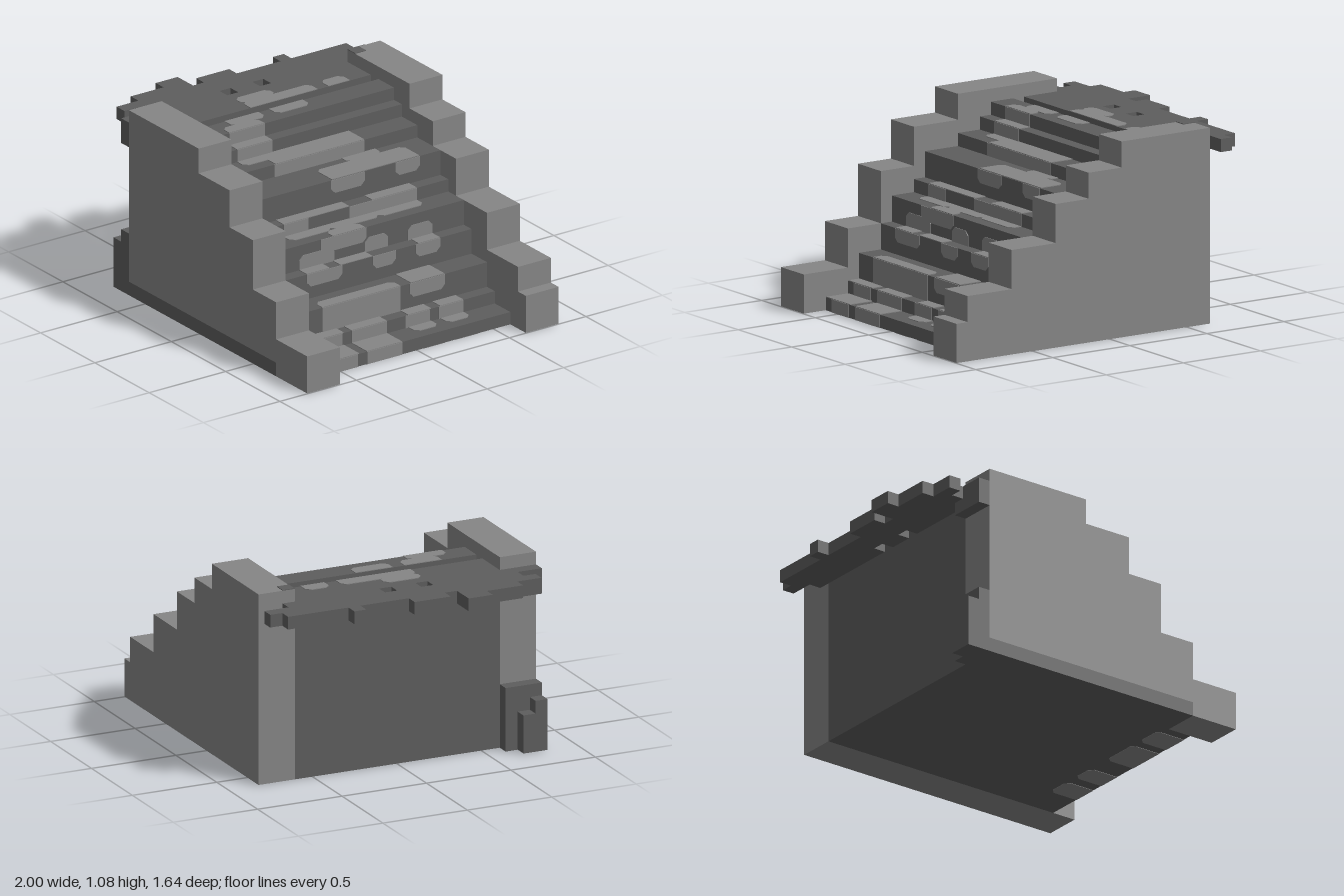
import * as THREE from 'three';

// Everything is laid out on a block grid, 14 blocks per unit.
const U = 1 / 14;
const WALL = 8.5, EDGE = 11.5;

// [end x, height] of each run, from the top of the stairs to the bottom
const TREADS = [[-6, 14], [-5, 13], [-3, 14], [-2, 13], [0, 12], [3, 11], [4, 9], [6, 8], [7, 6], [9, 4], [10, 2], [12, 1]];
const FRONT_WALL = [[0, 15], [4, 13], [7, 10], [10, 6], [14, 3]];
const BACK_WALL = [[-1, 15], [2, 13], [5, 11], [9, 8], [13, 5], [14, 3]];

const shapeOf = (pts) => new THREE.Shape(pts.map(([a, b]) => new THREE.Vector2(a * U, b * U)));

// Stepped side profile starting at x = -9
function steppedProfile(steps, bottom = [[-9, 0]]) {
  const pts = [...bottom];
  const last = steps[steps.length - 1][0];
  pts.push([last, 0]);
  for (let i = steps.length - 1; i >= 0; i--) {
    pts.push([steps[i][0], steps[i][1]]);
    pts.push([i ? steps[i - 1][0] : -9, steps[i][1]]);
  }
  return shapeOf(pts);
}

export function createModel() {
  const model = new THREE.Group();
  model.name = 'stoneStaircase';
  const light = new THREE.MeshStandardMaterial({ color: 0x868686 });
  light.name = 'light stone';
  const dark = new THREE.MeshStandardMaterial({ color: 0x5e5e5e });
  dark.name = 'dark stone';

  const add = (name, geometry, material, parent = model) => {
    const mesh = new THREE.Mesh(geometry, material);
    mesh.name = name;
    parent.add(mesh);
    return mesh;
  };
  const extrude = (shape, depth) => new THREE.ExtrudeGeometry(shape, { depth: depth * U, bevelEnabled: false });
  // Box between two grid corners
  const block = (name, x0, x1, y0, y1, z0, z1, material, parent) => {
    const g = new THREE.BoxGeometry((x1 - x0) * U, (y1 - y0) * U, (z1 - z0) * U);
    g.translate((x0 + x1) / 2 * U, (y0 + y1) / 2 * U, (z0 + z1) / 2 * U);
    return add(name, g, material, parent);
  };

  // Stair body
  add('stairs', extrude(steppedProfile(TREADS), 2 * WALL).translate(0, 0, -WALL * U), dark);

  // Side walls; the front one rests on a dark base course
  add('backWall', extrude(steppedProfile(BACK_WALL), 3).translate(0, 0, -EDGE * U), light);
  add('frontWall', extrude(steppedProfile(FRONT_WALL, [[-9, 1.1], [10, 1.1], [10, 0]]), 3).translate(0, 0, WALL * U), light);
  block('frontWallBase', -9, 10, 0, 1.1, WALL, EDGE, dark);

  // Ragged landing behind the stairs, with two holes
  const landing = shapeOf([
    [-11, -11.5], [-10, -11.5], [-10, -9.5], [-9, -9.5], [-9, 8.5], [-10, 8.5], [-10, 9.5], [-11, 9.5],
    [-11, 10.5], [-12, 10.5], [-12, 8.5], [-13, 8.5], [-13, 5.5], [-14, 5.5], [-14, 3.5], [-12, 3.5],
    [-12, 2.5], [-13, 2.5], [-13, -0.5], [-12, -0.5], [-12, -4.5], [-13, -4.5], [-13, -5.5], [-12, -5.5],
    [-12, -10.5], [-11, -10.5]]);
  for (const z of [-1.5, 1.5]) {
    landing.holes.push(shapeOf([[-10, z], [-10, z + 1], [-9.001, z + 1], [-9.001, z]]));
  }
  add('landing', extrude(landing, 1).rotateX(Math.PI / 2).translate(0, 14 * U, 0), dark);
  block('landingBracket', -10, -9, 12, 14, WALL, EDGE, dark);

  // Rubble at the foot of the front wall
  const rubble = new THREE.Group();
  rubble.name = 'rubble';
  model.add(rubble);
  block('tallRubble', -10, -9, 0, 5, WALL, EDGE, dark, rubble);
  block('lowRubble', -11, -10, 0, 3, 9.5, 10.5, dark, rubble);
  block('middleRubble', -11, -10, 0, 4, 10.5, EDGE, dark, rubble);

  // Worn patches: thin plates, corners cut only where a patch ends on a face
  const patches = new THREE.Group();
  patches.name = 'wornPatches';
  model.add(patches);
  const T = 0.004;
  const plate = (u0, u1, v0, v1, cutLow, cutHigh) => {
    const c = 0.025, a = cutLow ? c : 0, b = cutHigh ? c : 0;
    const s = new THREE.Shape([
      [u0 + a, v0], [u1 - b, v0], [u1, v0 + b], [u1, v1 - b], [u1 - b, v1], [u0 + a, v1], [u0, v1 - a], [u0, v0 + a],
    ].map(([p, q]) => new THREE.Vector2(p, q)));
    return new THREE.ExtrudeGeometry(s, { depth: T, bevelEnabled: false });
  };

  // Patches on the treads: x range, z range
  const treadPatches = [
    [-0.51, -0.36, -0.47, -0.33], [-0.51, -0.36, -0.26, 0.18], [-0.58, -0.5, -0.04, 0.18], [-0.357, -0.28, -0.11, 0.11],
    [-0.357, -0.28, 0.18, 0.4], [-0.285, -0.07, 0.24, 0.47], [-0.143, 0, -0.26, 0.32],
    [0, 0.07, -0.33, -0.11], [0.06, 0.21, -0.47, 0.1], [0.214, 0.36, -0.4, -0.11],
    [0.214, 0.285, 0.04, 0.2], [0.214, 0.36, 0.2, 0.47], [0.285, 0.36, -0.11, 0.2], [0.36, 0.43, 0.04, 0.25],
    [0.43, 0.5, -0.4, -0.26], [0.5, 0.64, -0.33, -0.11], [0.43, 0.5, 0.04, 0.25], [0.43, 0.5, 0.32, 0.47],
    [0.643, 0.79, -0.4, -0.25], [0.643, 0.79, -0.19, -0.04], [0.57, 0.643, -0.04, 0.47],
    [0.643, 0.857, 0.1, 0.33], [0.643, 0.857, 0.38, 0.6]];
  for (const [x0, x1, z0, z1] of treadPatches) {
    TREADS.forEach(([end, h], i) => {
      const start = i ? TREADS[i - 1][0] : -14;
      const a = Math.max(x0, start * U), b = Math.min(x1, end * U);
      if (b - a < 0.02) return;
      const g = plate(a, b, z0, z1, a === x0 && a - start * U > 0.01, b === x1 && end * U - b > 0.01);
      add('treadPatch', g.rotateX(Math.PI / 2).translate(0, h * U + T, 0), light, patches);
    });
  }

  // Patches on the risers: y range, z range
  const riserPatches = [
    [0.857, 1, 0.24, 0.47], [0.786, 0.857, -0.26, 0.33], [0.71, 0.786, -0.11, 0.11], [0.71, 0.786, -0.47, -0.31],
    [0.571, 0.643, 0.31, 0.47], [0.571, 0.643, -0.4, 0.04], [0.49, 0.571, 0.03, 0.33],
    [0.355, 0.51, 0.24, 0.47], [0.355, 0.51, -0.11, 0.04], [0.355, 0.51, -0.4, -0.24],
    [0.143, 0.286, -0.04, 0.47], [0.205, 0.286, -0.33, -0.1],
    [0, 0.143, 0.39, 0.55], [0, 0.143, 0.1, 0.33], [0.071, 0.143, -0.18, -0.02], [0.071, 0.143, -0.4, -0.24]];
  for (const [y0, y1, z0, z1] of riserPatches) {
    TREADS.forEach(([x, h], i) => {
      if (i < 2) return;
      const low = i + 1 < TREADS.length ? TREADS[i + 1][1] : 0;
      const a = Math.max(y0, low * U), b = Math.min(y1, h * U);
      if (b - a < 0.02) return;
      // plate drawn in (-z, y), then turned to face +x
      const g = plate(a, b, z0, z1, a === y0 && a - low * U > 0.01, b === y1 && h * U - b > 0.01);
      g.rotateZ(Math.PI / 2).rotateY(Math.PI / 2).translate(x * U, 0, 0);
      // the cross-section runs along -x' after the first turn, which becomes +z
      add('riserPatch', g, light, patches);
    });
  }

  // Worn spots under the lowest step and a dark stain on the back wall
  for (const [z0, z1] of [[0.39, 0.55], [0.1, 0.33], [-0.18, -0.04], [-0.4, -0.25]]) {
    const g = plate(0.68, 0.857, z0, z1, true, false);
    add('undersidePatch', g.rotateX(Math.PI / 2).translate(0, T / 2, 0), light, patches);
  }
  block('wallStain', -9, -8, 15, 15.05, -9.5, -8.5, dark, patches);

  return model;
}
